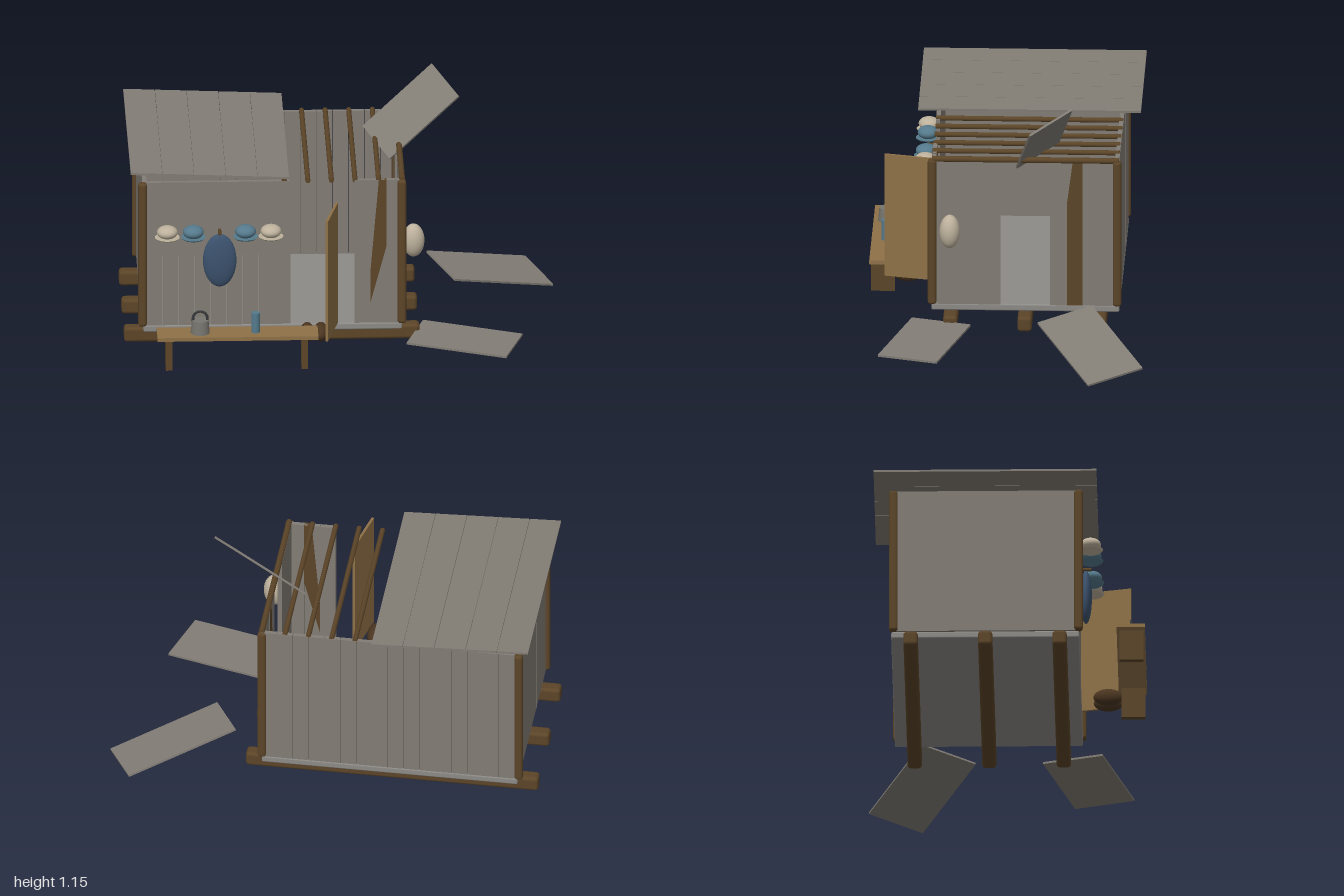
import * as THREE from 'three';
import { RoundedBoxGeometry } from 'three/addons/geometries/RoundedBoxGeometry.js';

const mat = (name, color) => new THREE.MeshStandardMaterial({ name, color });

export function createModel() {
  const M = {
    plank: mat('weathered grey', 0x827d75),
    floor: mat('floor grey', 0x8c8a86),
    wood: mat('dark timber', 0x5c4528),
    tan: mat('tan timber', 0x8f7148),
    leather: mat('leather brown', 0x4a3520),
    blue: mat('glaze blue', 0x557a8c),
    navy: mat('slate blue', 0x3c526e),
    cream: mat('cream', 0xbdb19c),
    metal: mat('kettle grey', 0x77756f),
    iron: mat('dark iron', 0x36383a),
  };
  const root = new THREE.Group();
  const add = (name, geo, material, x = 0, y = 0, z = 0, parent = root) => {
    const m = new THREE.Mesh(geo, material);
    m.name = name;
    m.position.set(x, y, z);
    parent.add(m);
    return m;
  };
  const group = (name) => {
    const g = new THREE.Group();
    g.name = name;
    root.add(g);
    return g;
  };
  const box = (w, h, d) => new THREE.BoxGeometry(w, h, d);
  const ball = (rx, ry, rz) => new THREE.SphereGeometry(1, 28, 18).scale(rx, ry, rz);

  // skids and floor
  for (const z of [0.255, -0.087, -0.43])
    add('skid', new RoundedBoxGeometry(1.36, 0.072, 0.066, 2, 0.016), M.wood, -0.32, 0.066, z);
  add('floor', new RoundedBoxGeometry(1.19, 0.034, 0.865, 2, 0.008), M.floor, -0.318, 0.12, -0.088);

  // corner posts
  for (const x of [-0.917, 0.276])
    for (const z of [0.341, -0.51])
      add('cornerPost', new RoundedBoxGeometry(0.04, 0.71, 0.04, 2, 0.014), M.wood, x, 0.49, z);

  // plank walls, with some planks left out for the openings
  const bottom = 0.137, top = 0.845, thick = 0.02;
  const wall = (name, along, start, pitch, count, fixed, skip = []) => {
    const g = group(name);
    for (let i = 0; i < count; i++) {
      if (skip.includes(i)) continue;
      const c = start + pitch * (i + 0.5), w = Math.abs(pitch) - 0.0015;
      const y = (bottom + top) / 2, h = top - bottom;
      if (along === 'x') add('plank', box(w, h, thick), M.plank, c, y, fixed, g);
      else add('plank', box(thick, h, w), M.plank, fixed, y, c, g);
    }
  };
  wall('frontWall', 'x', -0.9, 0.0737, 16, 0.333, [9, 10, 11, 12]);
  wall('backWall', 'x', -0.9, 0.0737, 16, -0.51);
  wall('leftWall', 'z', 0.33, -0.0759, 11, 0.274, [4, 5, 6]);
  wall('rightWall', 'z', 0.33, -0.0759, 11, -0.908);

  // bare timber patches where planks have worn through
  const patch = (points) => new THREE.ExtrudeGeometry(
    new THREE.Shape(points.map(([x, y]) => new THREE.Vector2(x, y))),
    { depth: 0.024, bevelEnabled: false });
  add('frontPatch', patch([[0.132, 0.24], [0.206, 0.52], [0.206, 0.845], [0.17, 0.845], [0.132, 0.4]]),
    M.wood, 0, 0, 0.321);
  add('sidePatch', patch([[0.279, 0.137], [0.352, 0.137], [0.352, 0.845], [0.307, 0.845], [0.279, 0.63]]),
    M.wood, 0.262).rotation.y = Math.PI / 2;

  // rafters over the open half
  for (let i = 0; i < 6; i++) {
    const r = i === 5 ? 0.014 : 0.012;
    add('rafter', new THREE.CylinderGeometry(r, r, 0.86, 10).rotateX(Math.PI / 2),
      M.wood, -0.265 + 0.1085 * i, 0.845, -0.088);
  }

  // remaining roof, gently sloped
  const roof = group('roof');
  roof.position.set(-0.61, 0.908, -0.088);
  roof.rotation.z = -0.042;
  for (let i = 0; i < 5; i++)
    add('roofBoard', box(0.1445, 0.01, 1.025), M.plank, (i - 2) * 0.146, 0, 0, roof);

  // loose panels given by one corner and its two neighbours
  const panel = (name, a, b, d) => {
    const A = new THREE.Vector3(...a), B = new THREE.Vector3(...b), D = new THREE.Vector3(...d);
    const u = B.clone().sub(A), v = D.clone().sub(A);
    const w = u.length(), h = v.length();
    const n = new THREE.Vector3().crossVectors(v, u).normalize();
    u.normalize();
    const side = new THREE.Vector3().crossVectors(u, n);
    const m = add(name, box(w, 0.01, h), M.plank);
    m.quaternion.setFromRotationMatrix(new THREE.Matrix4().makeBasis(u, n, side));
    m.position.copy(B).add(D).multiplyScalar(0.5);
  };
  panel('liftedRoofPanel', [0.115, 0.875, -0.235], [0.436, 1.152, -0.308], [0.235, 0.79, -0.045]);
  panel('fallenPanelBack', [0.417, 0.183, -0.4], [0.877, 0.05, -0.65], [0.535, 0.141, -0.152]);
  panel('fallenPanelFront', [0.38, 0.068, 0.16], [0.834, 0.05, 0.3], [0.294, 0.068, 0.433]);

  // open front door
  const door = add('door', box(0.24, 0.595, 0.012), M.tan, -0.05, 0.438, 0.455);
  door.rotation.y = Math.atan2(-0.235, -0.055);

  // bench
  add('benchTop', box(0.74, 0.018, 0.13), M.tan, -0.488, 0.187, 0.58);
  for (const x of [-0.805, -0.18])
    add('benchLeg', box(0.03, 0.147, 0.11), M.wood, x, 0.105, 0.583);

  // kettle and cup on the bench
  const kettle = group('kettle');
  kettle.position.set(-0.66, 0.196, 0.58);
  add('kettleBody', new THREE.CylinderGeometry(0.038, 0.044, 0.063, 24), M.metal, 0, 0.0315, 0, kettle);
  add('kettleHandle', new THREE.TorusGeometry(0.033, 0.006, 8, 24, Math.PI), M.iron, 0, 0.071, 0, kettle);
  for (const s of [-1, 1])
    add('handleEnd', new THREE.CylinderGeometry(0.006, 0.006, 0.014, 8), M.iron, s * 0.033, 0.065, 0, kettle);
  add('cup', new THREE.CylinderGeometry(0.02, 0.02, 0.096, 20), M.blue, -0.405, 0.244, 0.58);

  // bowls on saucers
  [[-0.805, M.cream], [-0.685, M.blue], [-0.445, M.blue], [-0.328, M.cream]].forEach(([x, m]) => {
    add('bowl', ball(0.048, 0.03, 0.048), m, x, 0.62, 0.395);
    add('saucer', new THREE.CylinderGeometry(0.057, 0.05, 0.007, 28), m, x, 0.592, 0.395);
  });

  // hanging oval with its peg, and the gourd on the side wall
  add('hangingOval', ball(0.077, 0.13, 0.028), M.navy, -0.563, 0.468, 0.37);
  add('peg', new THREE.CylinderGeometry(0.008, 0.008, 0.06, 10).rotateX(Math.PI / 2), M.wood, -0.563, 0.607, 0.365);
  add('gourd', ball(0.051, 0.08, 0.047), M.cream, 0.332, 0.51, 0.258);

  // pair of shoes
  for (const x of [-0.163, -0.1])
    add('shoe', ball(0.033, 0.04, 0.068), M.leather, x, 0.146, 0.467);

  return root;
}
